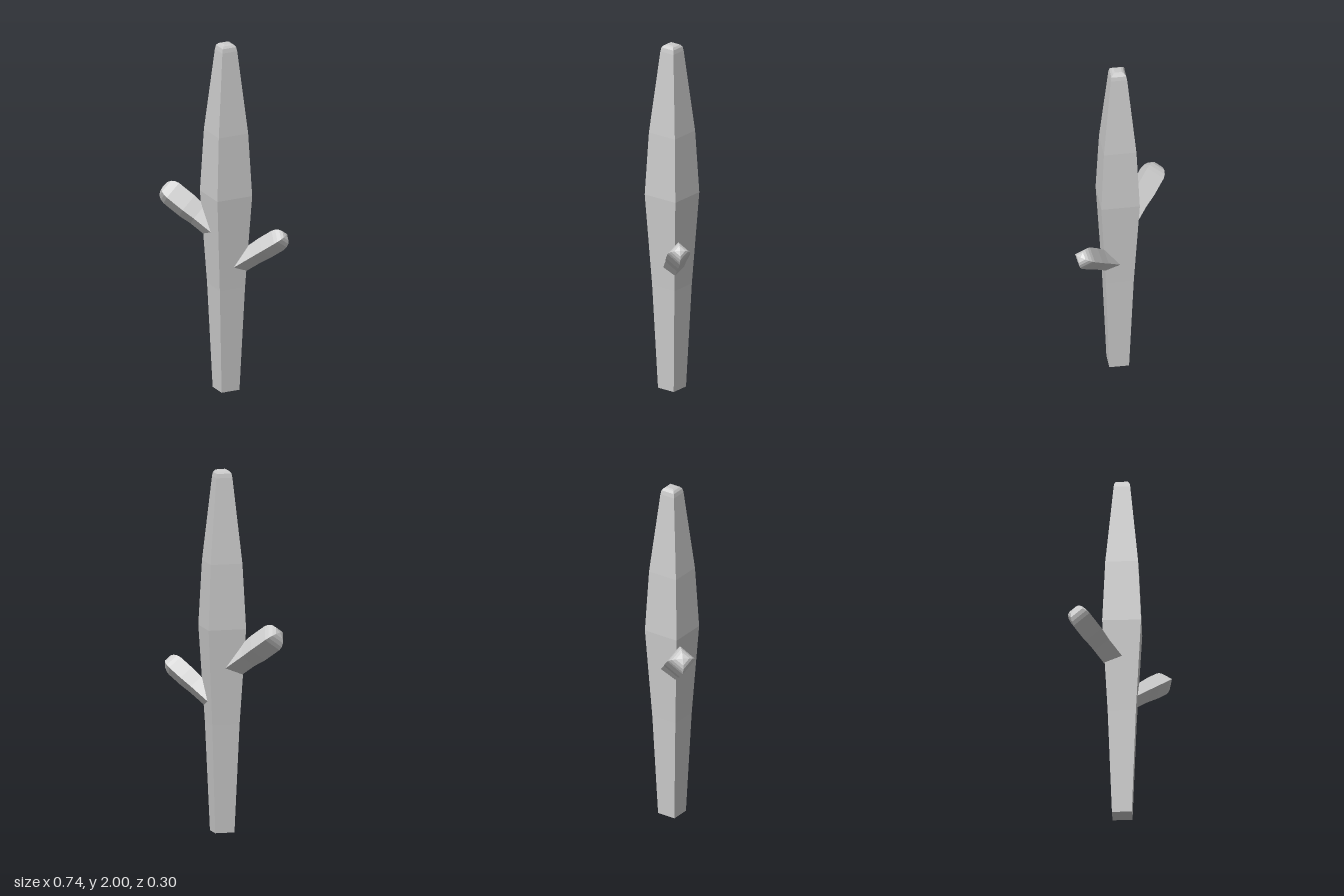
import * as THREE from 'three';

const material = new THREE.MeshStandardMaterial({ color: 0xcccccc, flatShading: true });

// Four-sided turned part with its corners on the x and z axes; profile is [radius, height]
function fourSided(name, profile) {
  const points = profile.map(([r, y]) => new THREE.Vector2(r, y));
  const mesh = new THREE.Mesh(new THREE.LatheGeometry(points, 4), material);
  mesh.name = name;
  return mesh;
}

// Arm rising from the trunk axis; side is +1 or -1 along x, ending in a rounded tip
function arm(name, side, y, rBase, rTip, shoulder) {
  const tip = [[1, 0], [0.92, 0.022], [0.74, 0.042], [0.48, 0.054], [0, 0.059]];
  const mesh = fourSided(name, [
    [0, 0], [rBase, 0], [rBase, 0.2], [rTip, 0.275],
    ...tip.map(([k, h]) => [rTip * k, shoulder + h]),
  ]);
  mesh.position.set(0.015, y, -0.002);
  mesh.rotation.z = -side * 0.957;
  return mesh;
}

export function createModel() {
  const group = new THREE.Group();
  group.name = 'cactus';

  // Tapered trunk with a rounded top
  const trunk = fourSided('trunk', [
    [0, 0], [0.077, 0], [0.109, 0.6], [0.15, 1.13], [0.127, 1.49],
    [0.064, 1.96], [0.058, 1.983], [0.045, 1.995], [0.028, 2], [0, 2],
  ]);
  trunk.position.x = 0.015;
  group.add(trunk);

  // Two arms at different heights
  group.add(arm('rightArm', -1, 0.873, 0.07, 0.078, 0.385));
  group.add(arm('leftArm', 1, 0.681, 0.058, 0.063, 0.362));
  return group;
}
